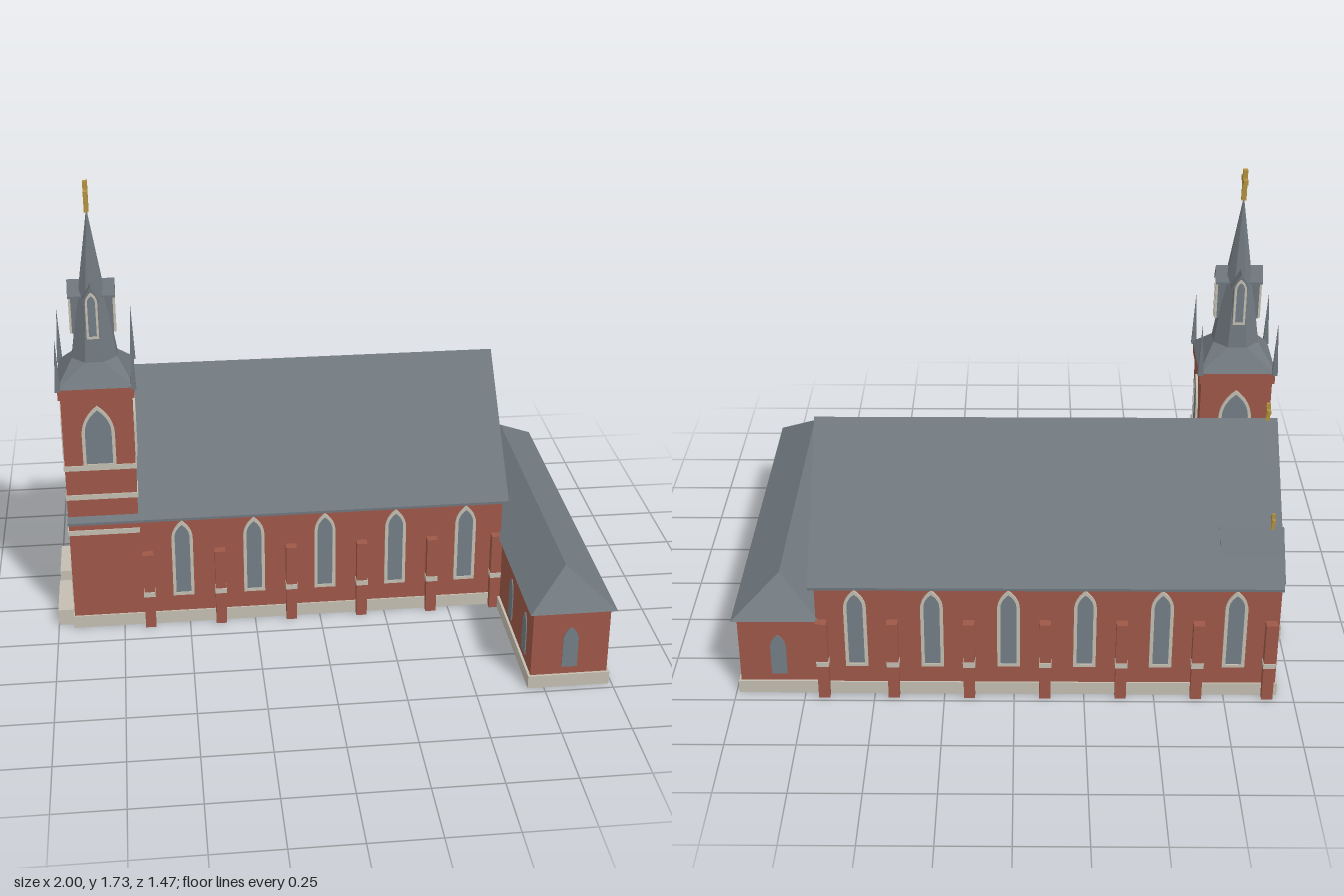
import * as THREE from 'three';

const mat = (name, color, side = THREE.FrontSide) => {
  const m = new THREE.MeshStandardMaterial({ color, side });
  m.name = name;
  return m;
};

export function createModel() {
  const root = new THREE.Group();
  root.name = 'church';
  const brick = mat('brick red', 0x9e5848, THREE.DoubleSide);
  const slate = mat('slate grey', 0x6f777d, THREE.DoubleSide);
  const stone = mat('pale stone', 0xc4beb1);
  const glass = mat('window grey', 0x737e85);
  const gold = mat('gold', 0xb3923f);

  const add = (name, geo, material, parent = root) => {
    const m = new THREE.Mesh(geo, material);
    m.name = name;
    parent.add(m);
    return m;
  };
  const group = (name, parent = root) => {
    const g = new THREE.Group();
    g.name = name;
    parent.add(g);
    return g;
  };
  const box = (name, x0, x1, y0, y1, z0, z1, material, parent = root) =>
    add(name, new THREE.BoxGeometry(x1 - x0, y1 - y0, z1 - z0)
      .translate((x0 + x1) / 2, (y0 + y1) / 2, (z0 + z1) / 2), material, parent);
  const poly = (pts) => new THREE.Shape(pts.map(([x, y]) => new THREE.Vector2(x, y)));
  const extrude = (shape, depth) =>
    new THREE.ExtrudeGeometry(shape, { depth, bevelEnabled: false, curveSegments: 6 });

  // Flat polygons, each fanned into triangles
  const faces = (polys) => {
    const pos = [];
    for (const p of polys)
      for (let i = 1; i < p.length - 1; i++) pos.push(...p[0], ...p[i], ...p[i + 1]);
    const g = new THREE.BufferGeometry();
    g.setAttribute('position', new THREE.Float32BufferAttribute(pos, 3));
    g.computeVertexNormals();
    return g;
  };
  // Four walls without floor or ceiling
  const walls = (name, x0, x1, z0, z1, y0, y1) => {
    const c = [[x0, z1], [x1, z1], [x1, z0], [x0, z0]];
    return add(name, faces(c.map(([x, z], i) => {
      const [u, w] = c[(i + 1) % 4];
      return [[x, y0, z], [u, y0, w], [u, y1, w], [x, y1, z]];
    })), brick);
  };
  // Course of thickness t around a rectangle
  const course = (name, x0, x1, z0, z1, y0, y1, t, material) => {
    const rect = (a, b) => [[-a, -b], [a, -b], [a, b], [-a, b]];
    const hx = (x1 - x0) / 2, hz = (z1 - z0) / 2;
    const s = poly(rect(hx + t, hz + t));
    s.holes.push(poly(rect(hx, hz)));
    return add(name, extrude(s, y1 - y0).rotateX(-Math.PI / 2)
      .translate((x0 + x1) / 2, y0, (z0 + z1) / 2), material);
  };
  // Thin pitched roof section
  const pitch = (half, eave, ridge, t) => poly([[-half, eave - t], [0, ridge - t],
    [half, eave - t], [half, eave], [0, ridge], [-half, eave]]);
  const gableRoof = (name, x0, x1, zc, half, eave, ridge, t) =>
    add(name, extrude(pitch(half, eave, ridge, t), x1 - x0)
      .rotateY(Math.PI / 2).translate(x0, 0, zc), slate);

  // Pointed window; rot turns it from facing +z
  const lancet = (w, h, y0 = 0) => {
    const s = new THREE.Shape(), a = w / 2, spring = h - w * 0.95;
    s.moveTo(-a, y0);
    s.lineTo(a, y0);
    s.lineTo(a, spring);
    s.quadraticCurveTo(a, spring + w * 0.55, 0, h);
    s.quadraticCurveTo(-a, spring + w * 0.55, -a, spring);
    s.closePath();
    return s;
  };
  const lancetWindow = (name, x, y, z, rot, w, h, frame = 0, parent = root) => {
    const g = group(name, parent);
    g.position.set(x, y, z);
    g.rotation.y = rot;
    add('pane', extrude(lancet(w - frame, h - frame, frame), 0.004), glass, g);
    if (frame) {
      const s = lancet(w, h);
      s.holes.push(lancet(w - 2 * frame, h - 1.3 * frame, frame));
      add('surround', extrude(s, 0.008), stone, g);
    }
    return g;
  };
  const S = 0, E = Math.PI / 2, N = Math.PI, W = -Math.PI / 2;

  const cross = (x, y, z, h, arm, t) => {
    const g = group('cross');
    box('upright', x - t, x + t, y, y + h, z - t, z + t, gold, g);
    box('crossbar', x - t, x + t, y + h * 0.58, y + h * 0.58 + 2 * t, z - arm, z + arm, gold, g);
  };

  // Nave
  const x0 = -0.935, x1 = 0.7, z0 = -0.7, z1 = 0.14, zc = -0.28;
  walls('naveWalls', x0, x1, z0, z1, 0, 0.465);
  for (const x of [x0, x1])
    add('gableWall', faces([[[x, 0.465, z1], [x, 0.465, z0], [x, 0.885, zc]]]), brick);
  course('navePlinth', x0 - 0.001, x1 + 0.001, z0 - 0.001, z1 + 0.001, 0, 0.05, 0.006, stone);
  gableRoof('naveRoof', -0.94, 0.72, zc, 0.44, 0.46, 0.9, 0.01);
  gableRoof('sideGableRoof', -0.945, -0.72, -0.57, 0.125, 0.475, 0.622, 0.01);
  cross(-0.905, 0.88, zc, 0.08, 0.026, 0.007);
  cross(-0.905, 0.61, -0.57, 0.065, 0.02, 0.006);

  // Buttresses and long windows along both sides
  for (const [side, xs] of [[1, [-0.65, -0.38, -0.11, 0.16, 0.43, 0.68]],
    [-1, [-0.905, -0.65, -0.38, -0.11, 0.16, 0.43, 0.68]]]) {
    const zw = side > 0 ? z1 : z0;
    for (const x of xs) {
      const g = group('buttress');
      const c = zw + side * 0.015;
      box('pier', x - 0.02, x + 0.02, 0, 0.315, c - 0.018, c + 0.018, brick, g);
      box('pierBand', x - 0.022, x + 0.022, 0.135, 0.155, c - 0.021, c + 0.021, stone, g);
    }
    for (const x of [-0.78, -0.52, -0.25, 0.02, 0.29, 0.56])
      if (side < 0 || x > -0.7)
        lancetWindow('naveWindow', x, 0.12, zw, side > 0 ? S : N, 0.08, 0.32, 0.012);
  }

  // Entrance front
  lancetWindow('sideBayWindow', x0, 0.12, -0.56, W, 0.08, 0.32, 0.012);
  const great = lancetWindow('greatWindow', x0, 0.3, zc, W, 0.17, 0.3, 0.014);
  for (const x of [-0.026, 0.026])
    box('mullion', x - 0.004, x + 0.004, 0.01, 0.21, 0, 0.007, stone, great);
  box('transom', -0.075, 0.075, 0.15, 0.158, 0, 0.007, stone, great);
  box('plaque', x0 - 0.006, x0, 0.67, 0.7, zc - 0.035, zc + 0.035, stone);
  lancetWindow('mainDoor', x0, 0.05, zc, W, 0.1, 0.22, 0.012);
  for (const dz of [-0.1, 0.1])
    lancetWindow('entranceWindow', x0, 0.1, zc + dz, W, 0.055, 0.14, 0.01);
  box('entranceSteps', -1, x0, 0, 0.065, -0.37, -0.17, stone);
  box('towerSteps', -1, x0, 0, 0.065, -0.1, 0.12, stone);

  // Tower
  const tx = -0.808, tz = 0.012, th = 0.129;
  const t = [tx - th, tx + th, tz - th, tz + th];
  walls('towerWalls', ...t, 0, 1);
  for (const y of [0.4, 0.55, 0.67]) course('towerBand', ...t, y, y + 0.02, 0.004, stone);
  course('towerCornice', ...t, 0.958, 1, 0.008, brick);
  lancetWindow('towerDoor', x0 - 0.002, 0.065, tz, W, 0.09, 0.23, 0.012);
  for (const r of [S, E, N, W])
    lancetWindow('belfryWindow', tx + Math.sin(r) * th, 0.685, tz + Math.cos(r) * th, r, 0.12, 0.245, 0.012);

  // Spire: square eaves drawn in to an octagon, then to a point
  const eave = [], oct = [], o = 0.082, e = 0.14;
  for (let i = 0; i < 8; i++) {
    const a = (i + 0.5) * Math.PI / 4, r = o / Math.cos(Math.PI / 8);
    oct.push([Math.sin(a) * r, 1.08, Math.cos(a) * r]);
    eave.push([Math.sign(Math.sin(a)) * e, 1, Math.sign(Math.cos(a)) * e]);
  }
  const spireFaces = [];
  for (let i = 0; i < 8; i++) {
    const j = (i + 1) % 8;
    spireFaces.push([oct[i], oct[j], [0, 1.635, 0]]);
    spireFaces.push(i % 2 ? [eave[i], eave[j], oct[j], oct[i]] : [eave[i], oct[j], oct[i]]);
  }
  const spire = group('spire');
  spire.position.set(tx, 0, tz);
  add('spireRoof', faces(spireFaces), slate, spire);
  for (let i = 0; i < 4; i++) {
    const d = group('spireDormer', spire);
    d.rotation.y = i * Math.PI / 2;
    add('dormerBody', extrude(poly([[-0.024, 1.17], [0.024, 1.17], [0.024, 1.32], [0, 1.36], [-0.024, 1.32]]), 0.075), slate, d);
    add('dormerRoof', extrude(pitch(0.032, 1.315, 1.37, 0.008), 0.085), slate, d);
    lancetWindow('dormerWindow', 0, 1.17, 0.075, 0, 0.044, 0.175, 0.008, d);
    const p = new THREE.ConeGeometry(0.014, 0.21, 4).rotateY(Math.PI / 4).toNonIndexed();
    p.computeVertexNormals();
    add('pinnacle', p.translate(i % 2 ? 0.135 : -0.135, 1.1, i < 2 ? 0.135 : -0.135), slate, spire);
  }
  cross(tx, 1.62, tz, 0.113, 0.035, 0.0085);

  // Cross wing with hipped roof
  const a0 = 0.7, a1 = 0.98, b0 = -0.695, b1 = 0.715;
  walls('wingWalls', a0, a1, b0, b1, 0.05, 0.315);
  course('wingPlinth', a0, a1, b0, b1, 0, 0.05, 0.009, stone);
  const A = [0.685, 0.31, 0.73], B = [1, 0.31, 0.73], C = [1, 0.31, -0.71], D = [0.685, 0.31, -0.71];
  const P = [0.84, 0.425, 0.585], Q = [0.84, 0.425, -0.565];
  add('wingRoof', faces([[A, B, P], [B, C, Q, P], [C, D, Q], [D, A, P, Q]]), slate);
  for (const z of [0.6, 0.37, 0.13, -0.105, -0.34, -0.575]) {
    lancetWindow('wingWindow', a1, 0.08, z, E, 0.056, 0.165);
    if (z > 0.3) lancetWindow('wingWindow', a0, 0.08, z, W, 0.056, 0.165);
  }
  lancetWindow('wingEndWindow', 0.84, 0.08, b1, S, 0.056, 0.165);
  lancetWindow('wingEndWindow', 0.84, 0.08, b0, N, 0.056, 0.165);

  return root;
}
